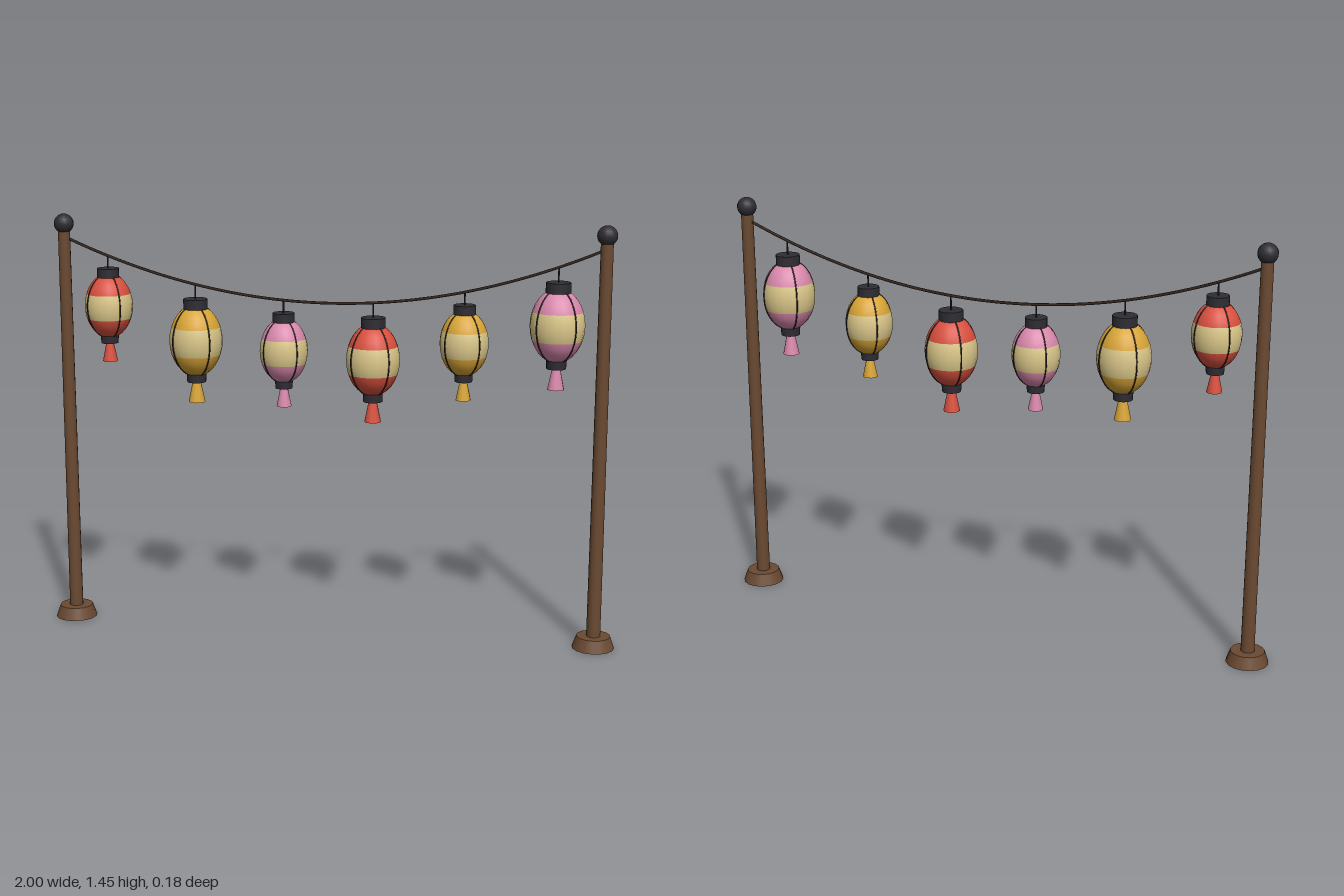
import * as THREE from 'three';

const mat = (name, color, side = THREE.FrontSide) => {
  const m = new THREE.MeshStandardMaterial({ color, side });
  m.name = name;
  return m;
};

const POST_X = 0.927;
const ropeY = (x) => 1.17 + 0.205 * (x / POST_X) ** 2;

export function createModel() {
  const wood = mat('wood', 0x6b4a32);
  const dark = mat('dark metal', 0x2f2d33);
  const cord = mat('cord', 0x33261f);
  const cream = mat('cream paper', 0xdcc88a, THREE.DoubleSide);
  const red = mat('red paper', 0xd9503f, THREE.DoubleSide);
  const gold = mat('gold paper', 0xd9a536, THREE.DoubleSide);
  const pink = mat('pink paper', 0xd988ac, THREE.DoubleSide);

  const root = new THREE.Group();
  root.name = 'lanternString';

  const add = (parent, name, geometry, material, x = 0, y = 0) => {
    const m = new THREE.Mesh(geometry, material);
    m.name = name;
    m.position.set(x, y, 0);
    parent.add(m);
    return m;
  };
  const cyl = (rTop, rBottom, h, sides = 16) => new THREE.CylinderGeometry(rTop, rBottom, h, sides);

  // Posts with a flared foot and a ball on top
  for (const side of [-1, 1]) {
    const post = new THREE.Group();
    post.name = side < 0 ? 'rightPost' : 'leftPost';
    post.position.x = side * POST_X;
    add(post, 'foot', cyl(0.058, 0.073, 0.042), wood, 0, 0.021);
    add(post, 'pole', cyl(0.021, 0.024, 1.37, 12), wood, 0, 0.725);
    add(post, 'ball', new THREE.SphereGeometry(0.034, 16, 12), dark, 0, 1.42);
    root.add(post);
  }

  // Sagging rope
  const points = [];
  for (let i = 0; i <= 24; i++) {
    const x = POST_X * (i / 12 - 1);
    points.push(new THREE.Vector3(x, ropeY(x), 0));
  }
  const rope = new THREE.CatmullRomCurve3(points);
  add(root, 'rope', new THREE.TubeGeometry(rope, 64, 0.005, 6), cord);

  // One paper lantern, origin at the middle of its body
  const R = 0.092, H = 0.125;
  const band = (from, to, rows) => {
    const g = new THREE.SphereGeometry(1, 20, rows, 0, Math.PI * 2, from * Math.PI, (to - from) * Math.PI);
    // scaling the geometry also corrects the normals
    return g.scale(R, H, R);
  };
  const ribPoints = [];
  for (let i = 0; i <= 12; i++) {
    const a = Math.PI * (0.12 + 0.76 * i / 12);
    ribPoints.push(new THREE.Vector3(R * Math.sin(a), H * Math.cos(a), 0));
  }
  const ribGeometry = new THREE.TubeGeometry(new THREE.CatmullRomCurve3(ribPoints), 24, 0.0025, 5);

  const makeLantern = (paper) => {
    const g = new THREE.Group();
    add(g, 'upperBody', band(0, 3 / 8, 6), paper);
    add(g, 'creamBand', band(3 / 8, 5 / 8, 4), cream);
    add(g, 'lowerBody', band(5 / 8, 1, 6), paper);
    for (let i = 0; i < 4; i++) {
      add(g, 'rib', ribGeometry, cord).rotation.y = Math.PI * (0.25 + i / 2);
    }
    add(g, 'topCap', cyl(0.042, 0.042, 0.036), dark, 0, 0.127);
    add(g, 'bottomCap', cyl(0.035, 0.033, 0.034), dark, 0, -0.128);
    add(g, 'tassel', cyl(0.014, 0.029, 0.072, 10), paper, 0, -0.18);
    return g;
  };

  // Six lanterns alternating in size and hung from the rope
  const papers = [red, gold, pink];
  for (let i = 0; i < 6; i++) {
    const x = -0.773 + i * 0.3092;
    const big = i % 2 === 1;
    const s = big ? 1 : 0.9;
    const drop = big ? 0.195 : 0.174;
    const top = ropeY(x);
    const lantern = makeLantern(papers[i % 3]);
    lantern.name = 'lantern' + (i + 1);
    lantern.scale.setScalar(s);
    lantern.position.set(x, top - drop, 0);
    root.add(lantern);
    const length = drop - 0.14 * s;
    add(root, 'hangingCord', cyl(0.003, 0.003, length, 6), cord, x, top - length / 2);
  }

  return root;
}
